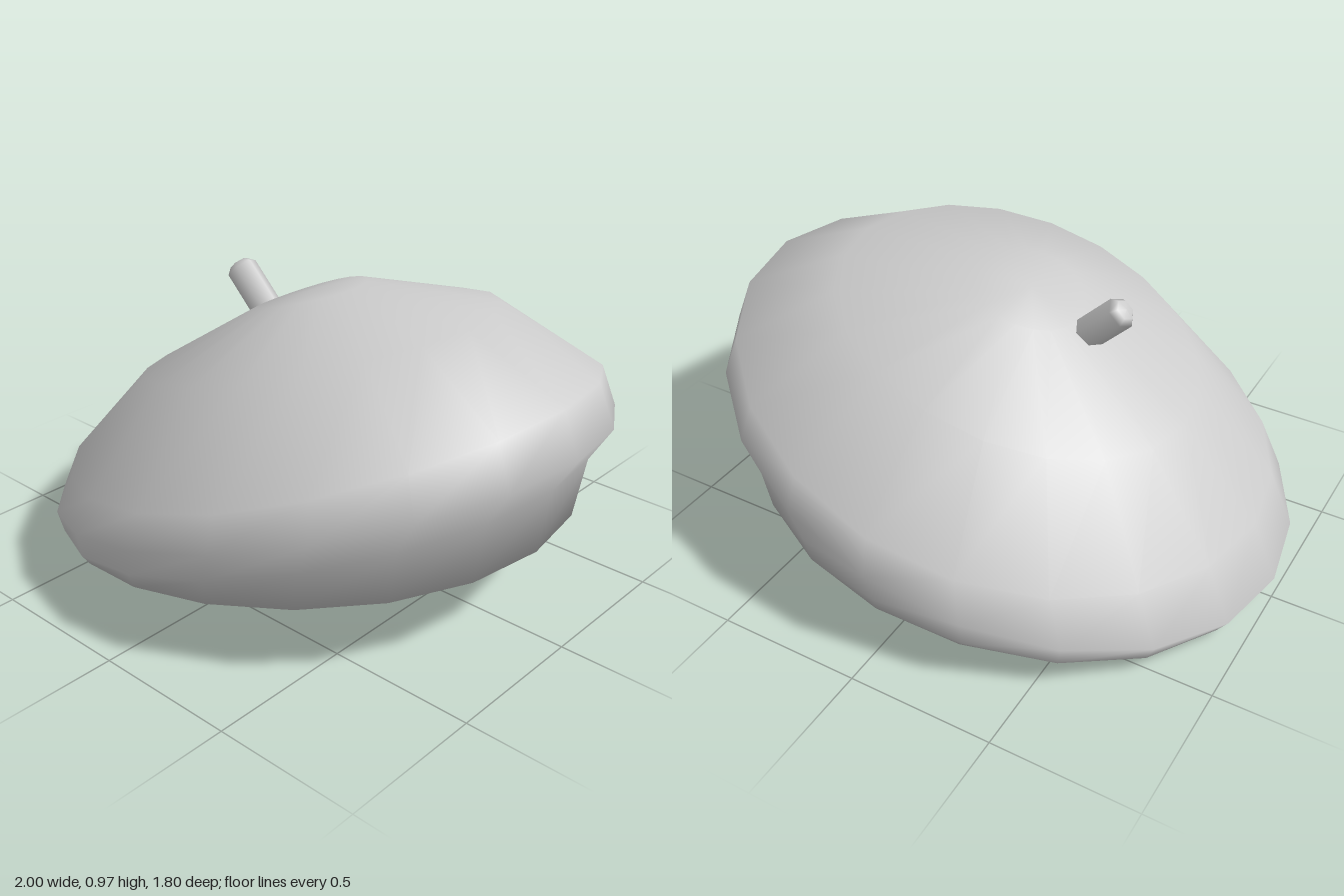
import * as THREE from 'three';

const SIDES = 20;

// Tilted rings from rim to crown: [left x, left y], [side y, side z], [right x, right y]
const RINGS = [
  { left: [-0.91, 0.0], side: [0.2, 0.87], right: [0.88, 0.3] },
  { left: [-0.96, 0.03], side: [0.25, 0.885], right: [0.92, 0.53] },
  { left: [-1.0, 0.08], side: [0.35, 0.9], right: [1.0, 0.66] },
  { left: [-0.91, 0.28], side: [0.47, 0.86], right: [0.94, 0.81] },
  { left: [-0.64, 0.58], side: [0.78, 0.58], right: [0.58, 0.96] },
  { left: [-0.24, 0.85], side: [0.92, 0.2], right: [0.11, 0.97] },
];

// Soft cap body: rings joined by quads, closed by a fan below and above
function capGeometry() {
  const positions = [];
  const index = [];
  for (const { left, side, right } of RINGS) {
    for (let j = 0; j < SIDES; j++) {
      const a = (j / SIDES) * Math.PI * 2;
      const c = Math.cos(a);
      const x = (left[0] + right[0]) / 2 + (c * (right[0] - left[0])) / 2;
      // Parabola through the left, side and right heights
      const bend = (left[1] + right[1]) / 2 - side[0];
      const y = side[0] + (c * (right[1] - left[1])) / 2 + bend * c * c;
      positions.push(x, y, side[1] * Math.sin(a));
    }
  }
  const bottom = positions.length / 3;
  positions.push(0.04, 0.2, 0, -0.07, 0.925, 0);
  const top = bottom + 1;
  const last = (RINGS.length - 1) * SIDES;
  for (let j = 0; j < SIDES; j++) {
    const k = (j + 1) % SIDES;
    for (let i = 0; i < RINGS.length - 1; i++) {
      const a = i * SIDES + j, b = i * SIDES + k;
      index.push(a, a + SIDES, b, b, a + SIDES, b + SIDES);
    }
    index.push(bottom, j, k);
    index.push(top, last + k, last + j);
  }
  const geometry = new THREE.BufferGeometry();
  geometry.setAttribute('position', new THREE.Float32BufferAttribute(positions, 3));
  geometry.setIndex(index);
  geometry.computeVertexNormals();
  return geometry;
}

export function createModel() {
  const model = new THREE.Group();
  model.name = 'beret';
  const material = new THREE.MeshStandardMaterial({ color: 0xcccccc, side: THREE.DoubleSide });

  const cap = new THREE.Mesh(capGeometry(), material);
  cap.name = 'cap';
  model.add(cap);

  // Short six-sided stem leaning to the right of the crown
  const profile = [[0.055, 0], [0.055, 0.2], [0.035, 0.22], [0, 0.225]]
    .map(([r, y]) => new THREE.Vector2(r, y));
  const stem = new THREE.Mesh(new THREE.LatheGeometry(profile, 6, Math.PI / 2), material);
  stem.name = 'stem';
  stem.position.set(-0.25, 0.785, 0);
  stem.rotation.z = Math.PI / 4;
  model.add(stem);

  return model;
}
